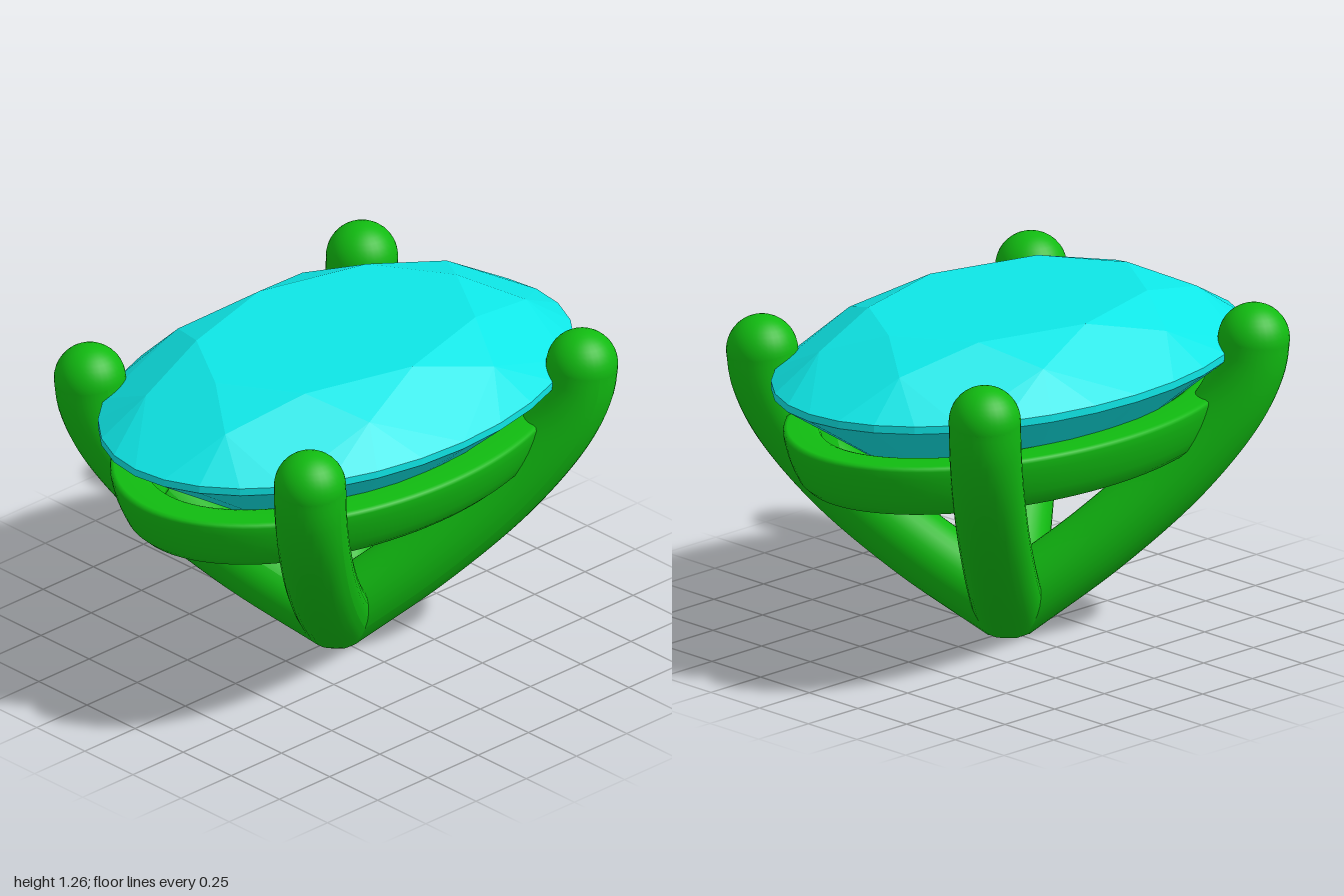
import * as THREE from 'three';
import { mergeVertices } from 'three/addons/utils/BufferGeometryUtils.js';
import { ConvexGeometry } from 'three/addons/geometries/ConvexGeometry.js';

const metal = new THREE.MeshStandardMaterial({ color: 0x11bb11 });
const stone = new THREE.MeshStandardMaterial({ color: 0x0ee6e6, flatShading: true });
const HALF_WIDTH = 0.665; // gem half width; its half length is 1
const PRONG_RADIUS = 0.13;

function part(name, geometry, material) {
  const mesh = new THREE.Mesh(geometry, material);
  mesh.name = name;
  return mesh;
}

// Oval brilliant: the hull of its facet corners
function createGem() {
  const points = [];
  const ring = (count, radius, y, offset = 0) => {
    for (let i = 0; i < count; i++) {
      const a = ((i + offset) / count) * Math.PI * 2;
      points.push(new THREE.Vector3(Math.sin(a) * radius * HALF_WIDTH, y, Math.cos(a) * radius));
    }
  };
  ring(8, 0.6, 1.26); // table
  ring(8, 0.81, 1.184, 0.5); // star facet tips
  ring(32, 1, 1.055); // girdle top
  ring(32, 1, 1.027); // girdle bottom
  ring(8, 0.3, 0.6, 0.5); // lower facet tips
  // culet and the short keel beside it
  for (const [z, y] of [[0, 0.45], [0.2, 0.52], [-0.2, 0.52], [0.4, 0.64], [-0.4, 0.64]]) {
    points.push(new THREE.Vector3(0, y, z));
  }
  return part('gem', new ConvexGeometry(points), stone);
}

// Oval band under the gem: a lathe narrowed evenly across x
function createBand() {
  const profile = [
    [0.85, 0.675], [0.875, 0.682], [0.9, 0.705], [0.92, 0.745], [0.938, 0.79], [0.95, 0.835],
    [0.956, 0.868], [0.953, 0.88], [0.94, 0.885], [0.84, 0.885], [0.824, 0.88], [0.815, 0.865],
    [0.8, 0.79], [0.765, 0.71], [0.765, 0.69], [0.785, 0.677], [0.85, 0.675],
  ].map(([r, y]) => new THREE.Vector2(r, y));
  let geometry = new THREE.LatheGeometry(profile, 96);
  const pos = geometry.attributes.position;
  for (let i = 0; i < pos.count; i++) {
    const r = Math.hypot(pos.getX(i), pos.getZ(i));
    pos.setX(i, pos.getX(i) * (r - 0.335) / r);
  }
  geometry.deleteAttribute('normal');
  geometry.deleteAttribute('uv');
  geometry = mergeVertices(geometry);
  geometry.computeVertexNormals();
  return part('band', geometry, metal);
}

// Cut the foot level with the ground
function flattenFoot(geometry) {
  const pos = geometry.attributes.position;
  for (let i = 0; i < pos.count; i++) pos.setY(i, Math.max(0, pos.getY(i)));
  geometry.computeVertexNormals();
  return geometry;
}

// Curved prong from the shared foot to a ball tip at one corner
function createProng(sx, sz) {
  const prong = new THREE.Group();
  prong.name = (sz > 0 ? 'front' : 'back') + (sx > 0 ? 'Left' : 'Right') + 'Prong';
  const path = new THREE.CatmullRomCurve3(
    [[0, 0.1], [0.38, 0.35], [0.7, 0.61], [0.91, 0.85], [0.985, 1.0], [1, 1.09]]
      .map(([f, y]) => new THREE.Vector3(sx * 0.572 * f, y, sz * 0.677 * f)),
  );
  prong.add(part('prongShaft', flattenFoot(new THREE.TubeGeometry(path, 48, PRONG_RADIUS, 32)), metal));
  const tip = part('prongTip', new THREE.SphereGeometry(PRONG_RADIUS, 32, 20), metal);
  tip.position.copy(path.getPoint(1));
  prong.add(tip);
  return prong;
}

export function createModel() {
  const model = new THREE.Group();
  model.name = 'gemSetting';
  model.add(createGem(), createBand());
  for (const sx of [-1, 1]) {
    for (const sz of [-1, 1]) model.add(createProng(sx, sz));
  }
  // Rounded foot where the prongs meet
  const foot = new THREE.SphereGeometry(PRONG_RADIUS, 32, 20);
  foot.translate(0, 0.1, 0);
  model.add(part('foot', flattenFoot(foot), metal));
  return model;
}
